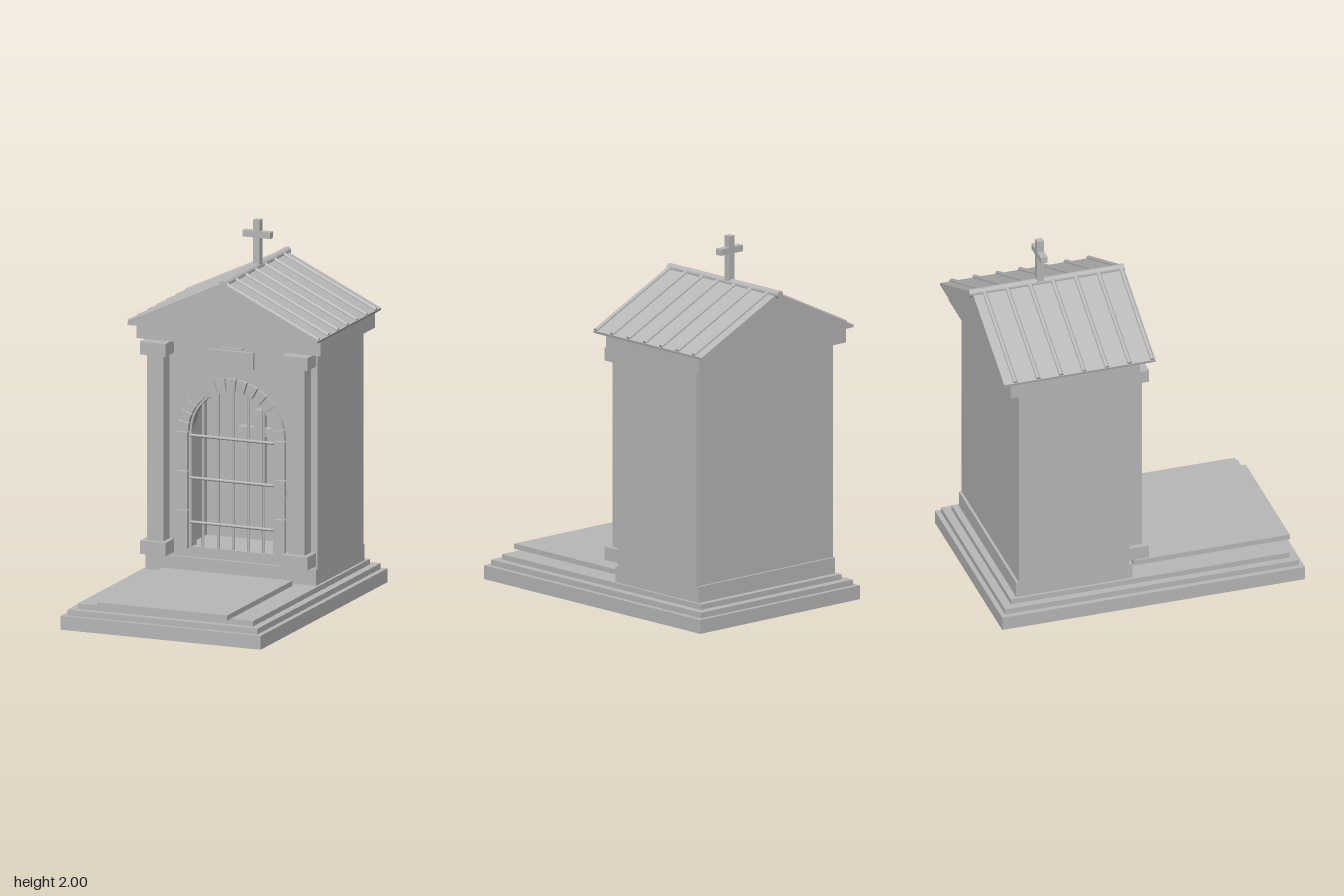
import * as THREE from 'three';

export function createModel() {
  const model = new THREE.Group();
  model.name = 'mausoleum';
  const stone = new THREE.MeshStandardMaterial({ color: 0xb8b8b8 });
  stone.name = 'grey stone';

  const add = (name, geometry, parent = model) => {
    const mesh = new THREE.Mesh(geometry, stone);
    mesh.name = name;
    parent.add(mesh);
    return mesh;
  };
  const group = (name) => {
    const g = new THREE.Group();
    g.name = name;
    model.add(g);
    return g;
  };
  // Box given by its limits on each axis
  const box = (name, x0, x1, y0, y1, z0, z1, parent) => {
    const mesh = add(name, new THREE.BoxGeometry(x1 - x0, y1 - y0, z1 - z0), parent);
    mesh.position.set((x0 + x1) / 2, (y0 + y1) / 2, (z0 + z1) / 2);
    return mesh;
  };
  // Round bar between two points
  const bar = (name, a, b, r, parent, sides = 10) => {
    const from = new THREE.Vector3(...a), to = new THREE.Vector3(...b);
    const dir = to.clone().sub(from);
    const mesh = add(name, new THREE.CylinderGeometry(r, r, dir.length(), sides), parent);
    mesh.position.copy(from).add(to).multiplyScalar(0.5);
    mesh.quaternion.setFromUnitVectors(new THREE.Vector3(0, 1, 0), dir.normalize());
    return mesh;
  };
  // Flat outline pushed from z0 to z1
  const extrude = (name, shape, z0, z1, parent) => {
    const geometry = new THREE.ExtrudeGeometry(shape, { depth: z1 - z0, bevelEnabled: false, curveSegments: 24 });
    geometry.translate(0, 0, z0);
    return add(name, geometry, parent);
  };
  const archY = 0.9, sillY = 0.265;
  // Arched door outline of half width r
  const archOutline = (path, r, y0) => {
    path.moveTo(r, y0);
    path.lineTo(r, archY);
    path.absarc(0, archY, r, 0, Math.PI, false);
    path.lineTo(-r, y0);
    path.closePath();
    return path;
  };

  // Stepped base and front slab
  box('baseStep', -0.575, 0.575, 0, 0.075, -0.84, 0.84);
  box('middleStep', -0.547, 0.547, 0.075, 0.106, -0.815, 0.815);
  box('upperStep', -0.505, 0.505, 0.106, 0.135, -0.77, 0.775);
  box('graveSlab', -0.375, 0.375, 0.135, 0.163, -0.045, 0.82);
  box('plinth', -0.49, 0.49, 0.135, 0.222, -0.735, -0.09);

  // Hollow chamber
  const front = new THREE.Shape();
  front.moveTo(-0.49, 0.222);
  front.lineTo(0.49, 0.222);
  front.lineTo(0.49, 1.39);
  front.lineTo(-0.49, 1.39);
  front.closePath();
  front.holes.push(archOutline(new THREE.Path(), 0.25, sillY - 0.007));
  extrude('frontWall', front, -0.21, -0.11);
  box('leftWall', 0.36, 0.49, 0.222, 1.39, -0.72, -0.21);
  box('rightWall', -0.49, -0.36, 0.222, 1.39, -0.72, -0.21);
  box('backWall', -0.36, 0.36, 0.222, 1.39, -0.72, -0.6);
  box('entablature', -0.53, 0.53, 1.39, 1.477, -0.78, -0.06);

  // Front pilasters with base and capital
  for (const s of [-1, 1]) {
    const pilaster = group(s > 0 ? 'leftPilaster' : 'rightPilaster');
    const part = (name, a, b, y0, y1, z1) =>
      box(name, Math.min(s * a, s * b), Math.max(s * a, s * b), y0, y1, -0.11, z1, pilaster);
    part('pilasterBase', 0.335, 0.482, 0.238, 0.31, 0.005);
    part('pilasterShaft', 0.36, 0.453, 0.31, 1.32, -0.025);
    part('pilasterCapital', 0.335, 0.482, 1.32, 1.39, 0.005);
  }

  // Stone door surround: stacked jambs and arch stones
  const surround = group('doorSurround');
  const gap = 0.003;
  for (const s of [-1, 1]) {
    for (let i = 0; i < 3; i++) {
      const y = sillY + i * 0.2117;
      const x = s * 0.28;
      box('jambStone', x - 0.03, x + 0.03, y + gap, y + 0.2117 - gap, -0.12, -0.085, surround);
    }
  }
  const stones = 15, step = Math.PI / stones;
  for (let i = 0; i < stones; i++) {
    const a = i * step + 0.012, b = (i + 1) * step - 0.012;
    const shape = new THREE.Shape();
    shape.absarc(0, archY, 0.31, a, b, false);
    shape.absarc(0, archY, 0.245, b, a, true);
    shape.closePath();
    extrude('archStone', shape, -0.12, -0.085, surround);
  }

  // Iron gate
  const gate = group('gate');
  const frame = archOutline(new THREE.Shape(), 0.25, sillY - 0.007);
  frame.holes.push(archOutline(new THREE.Path(), 0.234, sillY + 0.012));
  extrude('gateFrame', frame, -0.15, -0.11, gate);
  for (let i = -2; i <= 2; i++) {
    const x = i * 0.087;
    const top = archY + Math.sqrt(0.24 ** 2 - x * x);
    bar('gateUpright', [x, 0.275, -0.125], [x, top, -0.125], 0.008, gate);
  }
  for (const y of [0.41, 0.65, 0.88]) bar('gateRail', [-0.24, y, -0.11], [0.24, y, -0.11], 0.008, gate);

  // Cross inside the chamber
  const inner = group('innerCross');
  box('innerCrossUpright', -0.025, 0.025, 0.56, 0.96, -0.51, -0.46, inner);
  box('innerCrossArm', -0.12, 0.12, 0.82, 0.863, -0.51, -0.46, inner);

  // Blank plaque above the door
  const plaque = group('plaque');
  box('plaquePanel', -0.127, 0.127, 1.27, 1.362, -0.115, -0.09, plaque);
  box('plaqueLine', -0.1, 0.1, 1.328, 1.334, -0.092, -0.086, plaque);
  box('plaqueCap', -0.065, 0.065, 1.371, 1.379, -0.115, -0.09, plaque);

  // Hairline crack on the left pilaster
  const crack = [[0.345, 0.655], [0.358, 0.63], [0.335, 0.605], [0.36, 0.585], [0.375, 0.56]];
  for (let i = 1; i < crack.length; i++) {
    bar('crack', [...crack[i - 1], -0.026], [...crack[i], -0.026], 0.002, model, 5);
  }

  // Gabled roof with ribs and ridge
  const roof = group('roof');
  const gable = new THREE.Shape();
  gable.moveTo(-0.545, 1.477);
  gable.lineTo(0.545, 1.477);
  gable.lineTo(0.548, 1.49);
  gable.lineTo(0, 1.75);
  gable.lineTo(-0.548, 1.49);
  gable.closePath();
  extrude('gableRoof', gable, -0.82, 0.02, roof);
  for (let i = 0; i < 7; i++) {
    const z = 0.003 - i * 0.1265;
    for (const s of [-1, 1]) bar('roofRib', [s * 0.546, 1.494, z], [0, 1.752, z], 0.012, roof);
  }
  bar('ridge', [0, 1.746, -0.84], [0, 1.746, 0.02], 0.021, roof, 16);

  // Cross on the ridge
  const cross = group('roofCross');
  box('roofCrossUpright', -0.018, 0.018, 1.74, 2, -0.465, -0.427, cross);
  box('roofCrossArm', -0.08, 0.08, 1.904, 1.938, -0.465, -0.427, cross);

  return model;
}
